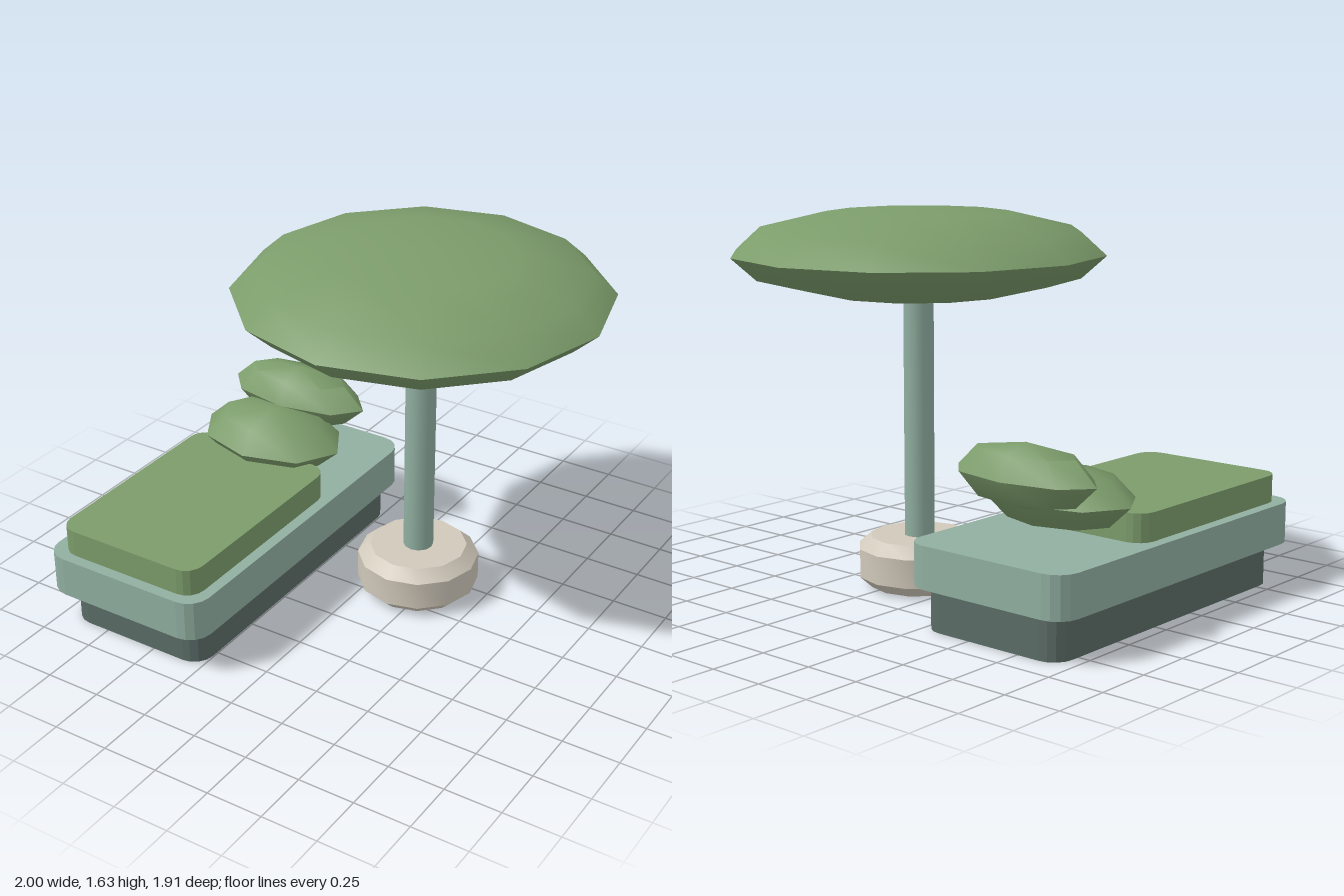
import * as THREE from 'three';
import { toCreasedNormals } from 'three/addons/utils/BufferGeometryUtils.js';

const material = (name, color) => {
  const m = new THREE.MeshStandardMaterial({ color });
  m.name = name;
  return m;
};

export function createModel() {
  const green = material('green fabric', 0x7c9c6b);
  const sage = material('sage frame', 0x91afa1);
  const slate = material('dark slate', 0x5b6c67);
  const stone = material('pale stone', 0xd0c8ba);

  const model = new THREE.Group();
  model.name = 'sunLoungerWithParasol';

  const add = (parent, name, geometry, mat, x, y, z) => {
    const mesh = new THREE.Mesh(geometry, mat);
    mesh.name = name;
    mesh.position.set(x, y, z);
    parent.add(mesh);
  };

  // Upright slab with cut-round corners, standing on its own y = 0
  const slab = (width, height, length, r) => {
    const w = width / 2, l = length / 2;
    const s = new THREE.Shape();
    s.absarc(w - r, l - r, r, 0, Math.PI / 2);
    s.absarc(-w + r, l - r, r, Math.PI / 2, Math.PI);
    s.absarc(-w + r, -l + r, r, Math.PI, Math.PI * 1.5);
    s.absarc(w - r, -l + r, r, Math.PI * 1.5, Math.PI * 2);
    return new THREE.ExtrudeGeometry(s, { depth: height, bevelEnabled: false, curveSegments: 2 })
      .rotateX(-Math.PI / 2);
  };

  // Squashed low-poly ball with a sharp rim
  const puff = (rx, ry, rz, around, rings) =>
    toCreasedNormals(new THREE.SphereGeometry(1, around, rings).scale(rx, ry, rz), 0.9);

  // Lounger
  const lounger = new THREE.Group();
  lounger.name = 'lounger';
  model.add(lounger);
  add(lounger, 'plinth', slab(0.69, 0.18, 1.5, 0.09), slate, -0.6, 0, 0.12);
  add(lounger, 'platform', slab(0.8, 0.18, 1.63, 0.1), sage, -0.6, 0.18, 0.14);
  add(lounger, 'mattress', slab(0.7, 0.12, 1.01, 0.08), green, -0.6, 0.36, 0.4);
  add(lounger, 'lowerPillow', puff(0.35, 0.132, 0.245, 8, 4), green, -0.6, 0.523, -0.185);
  add(lounger, 'upperPillow', puff(0.35, 0.134, 0.163, 8, 4), green, -0.6, 0.641, -0.402);

  // Parasol
  const parasol = new THREE.Group();
  parasol.name = 'parasol';
  parasol.position.set(0.197, 0, -0.153);
  model.add(parasol);
  const footProfile = [[0, 0], [0.215, 0], [0.268, 0.048], [0.268, 0.172], [0.215, 0.22], [0, 0.22]]
    .map(([x, y]) => new THREE.Vector2(x, y));
  add(parasol, 'foot', toCreasedNormals(new THREE.LatheGeometry(footProfile, 12), 0.6), stone, 0, 0, 0);
  add(parasol, 'pole', new THREE.CylinderGeometry(0.066, 0.066, 1.16, 12), sage, 0, 0.78, 0);
  add(parasol, 'canopy', puff(0.8, 0.193, 0.8, 12, 6), green, 0, 1.442, 0);

  return model;
}
